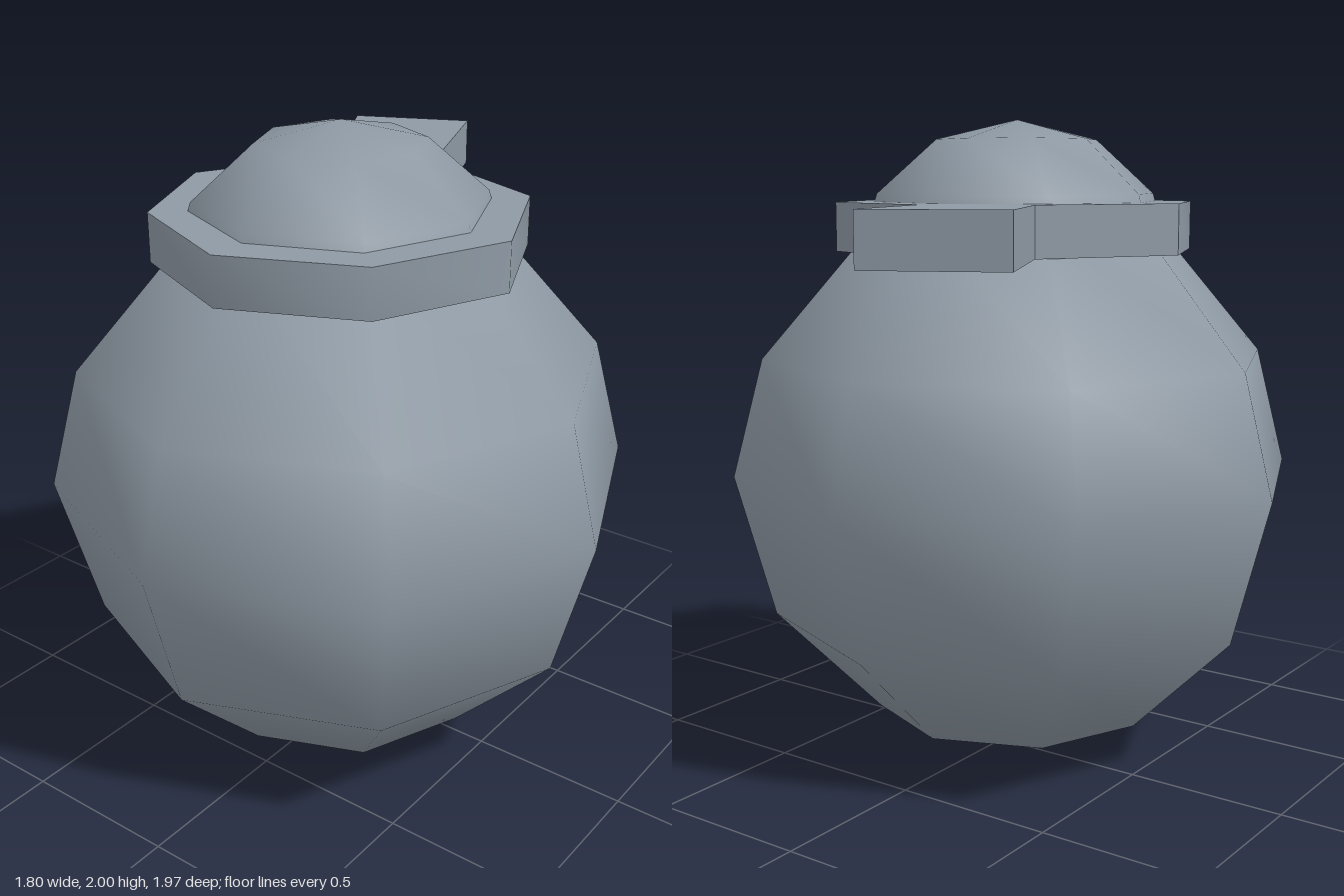
import * as THREE from 'three';
import { toCreasedNormals } from 'three/addons/utils/BufferGeometryUtils.js';

const CENTRE_Z = 0.085;

export function createModel() {
  const model = new THREE.Group();
  model.name = 'roundVessel';
  const greyMetal = new THREE.MeshStandardMaterial({ color: 0x8e99a4 });
  greyMetal.name = 'greyMetal';

  const add = (name, geometry, x, y, z) => {
    const mesh = new THREE.Mesh(geometry, greyMetal);
    mesh.name = name;
    mesh.position.set(x, y, z);
    model.add(mesh);
  };

  // Body: eight-sided ball whose upper shoulder ring is lower and wider
  const body = new THREE.SphereGeometry(0.9, 8, 6);
  const pos = body.attributes.position;
  for (let i = 0; i < pos.count; i++) {
    if (pos.getY(i) > 0.4 && pos.getY(i) < 0.5) {
      pos.setXYZ(i, pos.getX(i) * 1.03, 0.37, pos.getZ(i) * 1.03);
    }
  }
  add('body', body, 0, 0.9, CENTRE_Z);

  // Dome: slightly flattened ball showing above the collar
  const dome = new THREE.SphereGeometry(0.507, 8, 6);
  dome.scale(1, 0.888, 1);
  add('dome', dome, 0, 1.55, CENTRE_Z);

  // Collar: octagonal band with a straight handle running off the back
  const outline = [
    [0.575, 0.08], [0.4, 0.48], [0, 0.655], [-0.4, 0.48], [-0.575, 0.085],
    [-0.35, -0.33], [-0.62, -0.82], [-0.26, -0.99], [-0.055, -0.475], [0.395, -0.32],
  ];
  const shape = new THREE.Shape(outline.map(([x, z]) => new THREE.Vector2(x, -z)));
  const collar = new THREE.ExtrudeGeometry(shape, { depth: 0.15, bevelEnabled: false });
  collar.rotateX(-Math.PI / 2);
  add('collarWithHandle', toCreasedNormals(collar, THREE.MathUtils.degToRad(48.5)), 0, 1.6, 0);

  return model;
}
